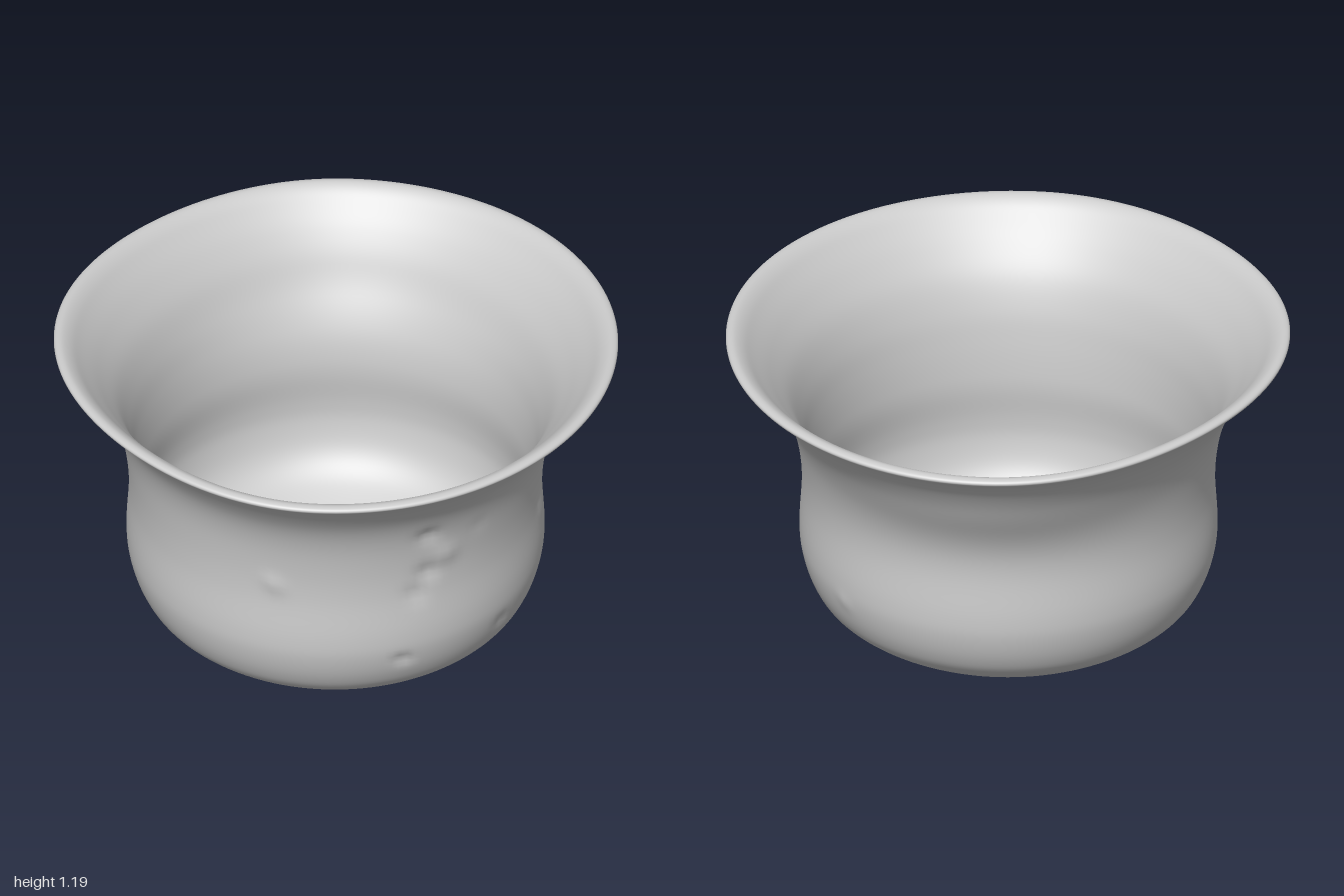
import * as THREE from 'three';
import { mergeVertices } from 'three/addons/utils/BufferGeometryUtils.js';

// Closed wall section [radius, height]: outer base, belly, flare, rim, then back down inside
const SECTION = [
  [0, 0], [0.1, 0.003], [0.22, 0.018], [0.4, 0.07], [0.54, 0.135], [0.63, 0.2], [0.675, 0.27],
  [0.702, 0.36], [0.708, 0.45], [0.7, 0.6], [0.707, 0.72], [0.73, 0.84], [0.77, 0.94],
  [0.835, 1.035], [0.9, 1.107], [0.943, 1.141], [0.956, 1.156], [0.949, 1.167], [0.928, 1.168],
  [0.9, 1.152], [0.868, 1.12], [0.807, 1.05], [0.742, 0.955], [0.698, 0.845], [0.675, 0.74],
  [0.662, 0.64], [0.659, 0.56], [0.667, 0.45], [0.663, 0.37], [0.637, 0.28], [0.59, 0.215],
  [0.515, 0.165], [0.385, 0.106], [0.22, 0.06], [0.1, 0.046], [0, 0.043],
].map(([r, y]) => new THREE.Vector2(r, y));

// Dents and lumps: [x, y, z, radius, depth along the surface normal]
const WALL_MARKS = [
  [0.36, 0.85, 0.66, 0.035, -0.016], [0.42, 0.74, 0.61, 0.04, 0.01],
  [0.36, 0.68, 0.64, 0.035, -0.014], [0.32, 0.6, 0.66, 0.035, -0.01],
  [0.28, 0.34, 0.68, 0.025, -0.014], [-0.16, 0.66, 0.73, 0.035, 0.01],
  [0.7, 0.57, 0.07, 0.03, 0.008], [0.54, 0.36, -0.49, 0.03, 0.012],
  [0.55, 0.8, 0.55, 0.03, -0.012], [0.6, 0.32, 0.4, 0.03, -0.01],
  [0.62, 0.95, 0.55, 0.03, -0.01], [0.78, 0.95, 0.2, 0.025, -0.01],
];
const FLOOR_MARKS = [
  [-0.17, 0.11, -0.4, 0.025, -0.012], [0.08, 0.1, -0.34, 0.03, 0.01],
  [0.14, 0.1, -0.28, 0.03, -0.01], [-0.05, 0.05, 0.05, 0.04, -0.008],
  [0.12, 0.05, 0, 0.03, 0.008], [-0.1, 0.06, -0.15, 0.03, 0.008],
];

// Pushes the surface that faces the same way as each mark; walls face outward, the floor up
function addWear(geometry, marks, facing) {
  geometry.computeVertexNormals();
  const pos = geometry.attributes.position;
  const v = new THREE.Vector3();
  const n = new THREE.Vector3();
  const centre = new THREE.Vector3();
  for (let i = 0; i < pos.count; i++) {
    v.fromBufferAttribute(pos, i);
    n.fromBufferAttribute(geometry.attributes.normal, i);
    let push = 0;
    for (const [x, y, z, radius, depth] of marks) {
      const falloff = Math.exp(-v.distanceToSquared(centre.set(x, y, z)) / (radius * radius));
      push += depth * falloff * Math.max(0, n.dot(facing(x, z)));
    }
    v.addScaledVector(n, push);
    pos.setXYZ(i, v.x, v.y, v.z);
  }
}

function createBowl() {
  const points = new THREE.SplineCurve(SECTION).getPoints(190);
  points.forEach((p) => { p.x = Math.max(p.x, 0); });
  points[0].x = points[points.length - 1].x = 0;

  let geometry = new THREE.LatheGeometry(points, 160);
  geometry.deleteAttribute('uv');
  geometry.deleteAttribute('normal');
  geometry = mergeVertices(geometry, 1e-5);

  // Hand-made irregularity: oval plan, uneven flare, fuller back and a gently waving rim
  const pos = geometry.attributes.position;
  const v = new THREE.Vector3();
  for (let i = 0; i < pos.count; i++) {
    v.fromBufferAttribute(pos, i);
    const flare = THREE.MathUtils.smoothstep(v.y, 0.6, 1.15);
    const angle = Math.atan2(v.x, v.z);
    const flat = v.x < 0 ? 1 - 0.025 * flare * Math.sin(2 * angle) ** 2 : 1;
    const back = v.z < 0 ? 0.035 * Math.cos(angle) ** 2 * Math.exp(-(((v.y - 0.9) / 0.14) ** 2)) : 0;
    const wave = 0.014 * v.z - 0.007 * v.x + 0.01 * (v.x * v.x - v.z * v.z);
    pos.setXYZ(i,
      v.x * flat,
      v.y + wave * flare,
      v.z * flat * (1.03 + 0.017 * flare) + 0.018 * (1 - flare) - back);
  }

  addWear(geometry, WALL_MARKS, (x, z) => new THREE.Vector3(x, 0, z).normalize());
  addWear(geometry, FLOOR_MARKS, () => new THREE.Vector3(0, 1, 0));
  geometry.computeVertexNormals();

  const mesh = new THREE.Mesh(geometry, new THREE.MeshStandardMaterial({ color: 0xcccccc }));
  mesh.name = 'flaredBowl';
  return mesh;
}

export function createModel() {
  const group = new THREE.Group();
  group.name = 'bowl';
  group.add(createBowl());
  return group;
}
